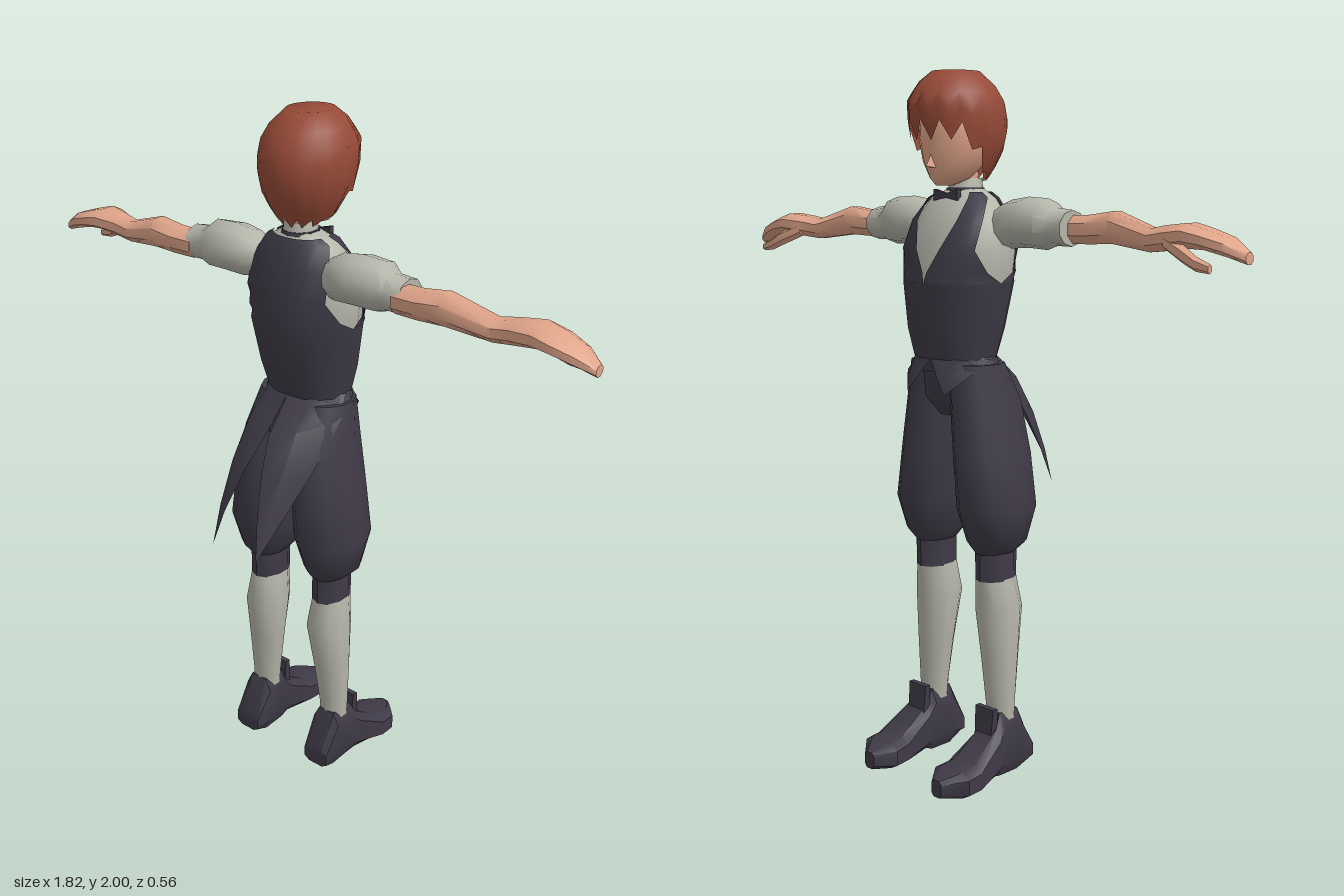
import * as THREE from 'three';
import { toCreasedNormals } from 'three/addons/utils/BufferGeometryUtils.js';

const mat = (name, color, side = THREE.FrontSide) => {
  const m = new THREE.MeshStandardMaterial({ color, side });
  m.name = name;
  return m;
};
const DEG = Math.PI / 180;
const pw = (v, e) => Math.sign(v) * Math.pow(Math.abs(v), e);

function build(points, index) {
  const g = new THREE.BufferGeometry();
  g.setAttribute('position', new THREE.Float32BufferAttribute(points.flat(), 3));
  g.setIndex(index);
  return g;
}

// Quad grid over rows of points; closed grids wrap around and are capped
function skin(rows, closed) {
  const n = rows[0].length, idx = [], pts = rows.flat();
  for (let r = 0; r < rows.length - 1; r++) {
    for (let i = 0; i < (closed ? n : n - 1); i++) {
      const a = r * n + i, b = r * n + (i + 1) % n;
      idx.push(a, a + n, b, b, a + n, b + n);
    }
  }
  if (closed) {
    [0, rows.length - 1].forEach((r, end) => {
      const c = pts.length;
      pts.push([0, 1, 2].map(k => rows[r].reduce((s, p) => s + p[k], 0) / n));
      for (let i = 0; i < n; i++) {
        const a = r * n + i, b = r * n + (i + 1) % n;
        if (end) idx.push(c, b, a); else idx.push(c, a, b);
      }
    });
  }
  return build(pts, idx);
}

// Sections are [along, centreU, centreV, radiusU, radiusV]; power below 1 is boxier
const AXES = {
  y: (t, u, v) => [u, t, v],
  x: (t, u, v) => [t, v, u],
  z: (t, u, v) => [v, u, t],
};
function loft(sections, n = 10, axis = 'y', power = 1) {
  return skin(sections.map(([t, cu, cv, ru, rv]) => Array.from({ length: n }, (_, i) => {
    const a = (i + 0.5) / n * Math.PI * 2;
    return AXES[axis](t, cu + ru * pw(Math.cos(a), power), cv + rv * pw(Math.sin(a), power));
  })), true);
}

function mirror(geo) {
  const g = geo.clone().scale(-1, 1, 1), ix = Array.from(g.index.array);
  for (let i = 0; i < ix.length; i += 3) [ix[i + 1], ix[i + 2]] = [ix[i + 2], ix[i + 1]];
  return g.setIndex(ix);
}

// Interpolate a table of sections by its first column
function sample(table, y) {
  let i = 0;
  while (i < table.length - 2 && y > table[i + 1][0]) i++;
  const a = table[i], b = table[i + 1];
  const t = THREE.MathUtils.clamp((y - a[0]) / (b[0] - a[0]), 0, 1);
  return a.map((v, k) => v + (b[k] - v) * t);
}

const TORSO = [
  [1.22, 0, -0.053, 0.115, 0.092], [1.30, 0, -0.05, 0.132, 0.115],
  [1.43, 0, -0.04, 0.152, 0.132], [1.52, 0, -0.035, 0.168, 0.122],
  [1.60, 0, -0.028, 0.145, 0.1], [1.66, 0, -0.02, 0.1, 0.072], [1.69, 0, -0.01, 0.045, 0.045],
];
// Cloth lying over the torso; rows are [y, startDegrees, endDegrees]
const cloth = rows => skin(rows.map(([y, a0, a1]) => {
  const [, cx, cz, rx, rz] = sample(TORSO, y);
  return Array.from({ length: 9 }, (_, i) => {
    const a = (a0 + (a1 - a0) * i / 8) * DEG;
    return [cx + (rx + 0.008) * pw(Math.cos(a), 0.9), y + 0.003, cz + (rz + 0.008) * pw(Math.sin(a), 0.9)];
  });
}), false);

// Hair shell whose lower edge rises in jagged strands over the face (-z)
function hairShell() {
  const profile = [[1.70, 0.42, 0.02], [1.74, 0.72, 0], [1.79, 0.9, 0], [1.86, 1, 0],
    [1.92, 0.97, -0.01], [1.97, 0.75, -0.01], [2.0, 0.48, -0.01]];
  const n = 28, rows = 8, grid = [];
  for (let r = 0; r < rows; r++) {
    grid.push(Array.from({ length: n }, (_, i) => {
      const a = i / n * Math.PI * 2, front = Math.max(0, -Math.sin(a) + 0.2);
      const edge = 1.71 + 0.115 * Math.min(1, front * 1.2) + (i % 2 ? 0.02 : -0.005) * (1 + front);
      const y = edge + (2.0 - edge) * r / (rows - 1);
      const [, k, dz] = sample(profile, y);
      const kz = Math.sin(a) < 0 ? Math.max(k, y < 1.88 ? 0.88 : 0) : k;
      return [0.13 * k * Math.cos(a), y, -0.04 + dz + 0.146 * kz * Math.sin(a)];
    }));
  }
  const top = grid[rows - 1].map(() => [0, 2.0, -0.05]);
  return skin([...grid, top], false, n);
}

export function createModel() {
  const model = new THREE.Group();
  model.name = 'figure';
  const hair = mat('auburn hair', 0x964a37, THREE.DoubleSide);
  const flesh = mat('skin', 0xdfa489);
  const linen = mat('grey linen', 0xb5b5aa);
  const dark = mat('dark cloth', 0x3f3a47, THREE.DoubleSide);

  const add = (name, geo, material, crease = 0.8) => {
    const mesh = new THREE.Mesh(toCreasedNormals(geo, crease), material);
    mesh.name = name;
    model.add(mesh);
  };
  const pair = (name, geo, material, crease) => {
    add(name + 'Left', geo, material, crease);
    add(name + 'Right', mirror(geo), material, crease);
  };

  // Head, nose, neck and hair
  add('head', loft([[1.695, 0, -0.095, 0.022, 0.025], [1.715, 0, -0.075, 0.05, 0.06],
    [1.76, 0, -0.052, 0.088, 0.093], [1.82, 0, -0.045, 0.105, 0.108],
    [1.92, 0, -0.045, 0.1, 0.105], [1.96, 0, -0.045, 0.06, 0.06]], 14), flesh, 1);
  add('nose', build([[0, 1.79, -0.142], [-0.014, 1.742, -0.13], [0.014, 1.742, -0.13], [0, 1.746, -0.166]],
    [0, 3, 1, 0, 2, 3, 1, 3, 2]), flesh);
  add('neck', loft([[1.66, 0, -0.005, 0.038, 0.04], [1.75, 0, -0.02, 0.04, 0.042]]), flesh);
  const shell = hairShell();
  // Close the seam of the shell
  const n = 28, ix = Array.from(shell.index.array);
  for (let r = 0; r < 8; r++) {
    const a = r * n + n - 1, b = r * n;
    ix.push(a, a + n, b, b, a + n, b + n);
  }
  add('hair', shell.setIndex(ix), hair, 0.9);

  // Shirt, collar and waistcoat with open armholes and a V neck
  add('shirt', loft(TORSO, 16, 'y', 0.9), linen, 1);
  add('collar', loft([[1.665, 0, -0.012, 0.052, 0.056], [1.715, 0, -0.01, 0.042, 0.047]]), linen);
  add('neckBand', loft([[1.68, 0, -0.012, 0.053, 0.057], [1.69, 0, -0.012, 0.051, 0.055]]), dark);
  add('waistcoatBack', cloth([[1.22, 0, 180], [1.3, 0, 180], [1.43, 0, 180], [1.46, 20, 160],
    [1.52, 41, 139], [1.6, 32, 148], [1.66, 12, 168], [1.675, 12, 168]]), dark, 1);
  add('waistcoatFront', cloth([[1.22, 180, 360], [1.3, 180, 360], [1.43, 180, 360]]), dark, 1);
  pair('waistcoatChest', cloth([[1.43, 270, 360], [1.46, 272, 340], [1.52, 282, 320],
    [1.6, 297, 330], [1.66, 312, 350], [1.675, 318, 350]]), dark, 1);
  pair('bowTie', loft([[0, -0.085, 1.668, 0.008, 0.008], [0.045, -0.085, 1.67, 0.012, 0.022]], 4, 'x'), dark);

  // Puffed sleeves, bare arms, hands and thumbs
  pair('sleeve', loft([[0.11, 0, 1.58, 0.045, 0.05], [0.16, 0.005, 1.592, 0.07, 0.066],
    [0.22, 0.005, 1.598, 0.08, 0.068], [0.29, 0.002, 1.594, 0.07, 0.068],
    [0.32, 0.005, 1.588, 0.055, 0.05], [0.37, 0.005, 1.585, 0.056, 0.048]], 10, 'x'), linen);
  pair('arm', loft([[0.35, 0.022, 1.582, 0.042, 0.04], [0.42, 0.025, 1.583, 0.043, 0.041],
    [0.5, 0.024, 1.59, 0.044, 0.045], [0.63, 0.005, 1.562, 0.038, 0.032],
    [0.68, 0, 1.569, 0.042, 0.034], [0.75, -0.005, 1.577, 0.062, 0.033],
    [0.8, -0.003, 1.569, 0.062, 0.027], [0.86, 0, 1.552, 0.046, 0.025],
    [0.91, 0, 1.527, 0.018, 0.016]], 8, 'x'), flesh);
  pair('thumb', loft([[0.69, -0.025, 1.56, 0.02, 0.02], [0.76, -0.05, 1.532, 0.02, 0.022],
    [0.8, -0.058, 1.512, 0.015, 0.018], [0.84, -0.06, 1.502, 0.01, 0.012]], 6, 'x'), flesh);

  // Waistband, seat and breeches
  add('waistband', loft([[1.185, 0, -0.045, 0.146, 0.095], [1.21, 0, -0.05, 0.138, 0.096],
    [1.238, 0, -0.053, 0.118, 0.094]], 16), dark);
  add('seat', loft([[1.06, 0, -0.02, 0.05, 0.08], [1.11, 0, -0.025, 0.11, 0.11],
    [1.2, 0, -0.045, 0.135, 0.092]], 14), dark);
  pair('breeches', loft([[0.67, 0.118, -0.012, 0.05, 0.07], [0.7, 0.122, -0.012, 0.08, 0.092],
    [0.8, 0.121, -0.012, 0.1, 0.128], [0.95, 0.103, -0.012, 0.092, 0.13],
    [1.1, 0.085, -0.02, 0.083, 0.118], [1.21, 0.07, -0.045, 0.078, 0.085]], 12), dark);

  // Coat tails behind and short points in front; rows run inner edge to outer edge
  pair('coatTail', skin([
    [[0, 1.225, 0.048], [0.08, 1.23, 0.025], [0.13, 1.232, -0.05]],
    [[0.005, 1.13, 0.135], [0.085, 1.155, 0.11], [0.152, 1.17, 0]],
    [[0.03, 1.04, 0.195], [0.09, 1.045, 0.18], [0.135, 1.04, 0.105]],
    [[0.06, 0.92, 0.25], [0.09, 0.925, 0.235], [0.11, 0.93, 0.195]],
    [[0.08, 0.82, 0.28], [0.08, 0.82, 0.28], [0.081, 0.82, 0.279]],
  ], false), dark);
  pair('frontPoint', skin([
    [[0, 1.225, -0.152], [0.08, 1.225, -0.135], [0.14, 1.225, -0.055]],
    [[0.035, 1.175, -0.165], [0.08, 1.175, -0.16], [0.12, 1.18, -0.125]],
    [[0.07, 1.13, -0.175], [0.071, 1.13, -0.175], [0.072, 1.13, -0.174]],
  ], false), dark);

  // Knee cuffs, stockings and shoes
  pair('kneeCuff', loft([[0.59, 0.119, -0.012, 0.051, 0.067], [0.7, 0.119, -0.012, 0.05, 0.068]]), dark);
  pair('stocking', loft([[0.15, 0.136, -0.008, 0.042, 0.038], [0.22, 0.135, -0.008, 0.047, 0.04],
    [0.35, 0.129, -0.005, 0.056, 0.053], [0.5, 0.12, 0, 0.066, 0.071],
    [0.6, 0.119, -0.012, 0.05, 0.065]]), linen);
  pair('shoe', loft([[-0.277, 0.037, 0.138, 0.026, 0.02], [-0.22, 0.042, 0.145, 0.04, 0.07],
    [-0.17, 0.045, 0.147, 0.043, 0.068], [-0.07, 0.085, 0.143, 0.072, 0.054],
    [-0.045, 0.103, 0.138, 0.1, 0.05], [0.03, 0.101, 0.138, 0.1, 0.05],
    [0.085, 0.055, 0.14, 0.03, 0.045]], 8, 'z', 0.6), dark, 0.6);
  pair('shoeTongue', loft([[0.13, 0.137, -0.072, 0.036, 0.016],
    [0.218, 0.137, -0.07, 0.04, 0.01]], 4, 'y', 0.4), dark);

  return model;
}
